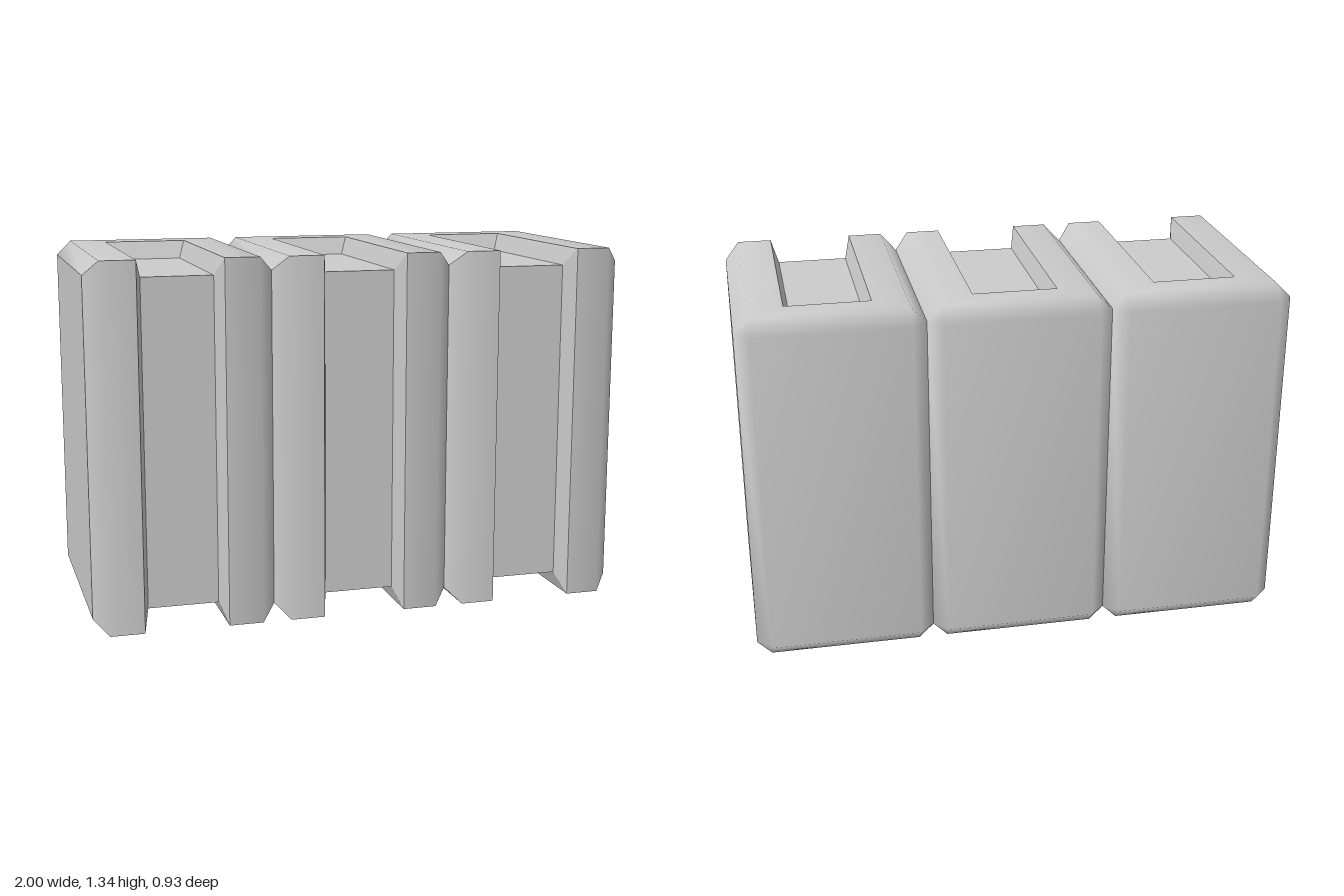
import * as THREE from 'three';
import { mergeVertices } from 'three/addons/utils/BufferGeometryUtils.js';

const H = 1.335, HW = 1 / 3, D = 0.467;     // block height, half width, half depth
const C = 0.053;                             // chamfer
const RX = 0.154, FX = 0.13;                 // recess half width at rim and floor
const RB = -0.31, FB = -0.285;               // recess back edge at rim and floor
const FZ = 0.39, FY = 0.067;                 // recess floor depth: front, top/bottom

// Turns polygons (3 or 4 corners) into a geometry; smooth ones share normals.
function build(faces, smooth) {
  const pos = [];
  for (const { pts, out } of faces) {
    const v = pts.map(p => new THREE.Vector3(...p));
    const n = v[1].clone().sub(v[0]).cross(v[2].clone().sub(v[0]));
    if (n.dot(new THREE.Vector3(...out)) < 0) v.reverse();
    for (let i = 1; i < v.length - 1; i++) {
      for (const p of [v[0], v[i], v[i + 1]]) pos.push(p.x, p.y, p.z);
    }
  }
  let g = new THREE.BufferGeometry();
  g.setAttribute('position', new THREE.Float32BufferAttribute(pos, 3));
  if (smooth) g = mergeVertices(g, 1e-4);
  g.computeVertexNormals();
  return g;
}

function blockParts() {
  const shell = [], front = [], sides = [], recess = [];
  const add = (list, out, ...pts) => list.push({ pts, out });
  const X = HW - C, Z = D - C, T = H - C;

  // Back panel and front recess floor
  add(shell, [0, 0, -1], [-X, C, -D], [X, C, -D], [X, T, -D], [-X, T, -D]);
  add(recess, [0, 0, 1], [-FX, FY, FZ], [FX, FY, FZ], [FX, H - FY, FZ], [-FX, H - FY, FZ]);

  for (const s of [-1, 1]) {
    // Side panel, back upright chamfer, front strip with its chamfer, front recess wall
    add(sides, [s, 0, 0], [s * HW, C, -Z], [s * HW, T, -Z], [s * HW, T, Z], [s * HW, C, Z]);
    add(shell, [s, 0, -1], [s * HW, C, -Z], [s * HW, T, -Z], [s * X, T, -D], [s * X, C, -D]);
    add(front, [0, 0, 1], [s * RX, 0, D], [s * X, 0, D], [s * X, H, D], [s * RX, H, D]);
    add(front, [s, 0, 1], [s * X, 0, D], [s * X, H, D], [s * HW, T, Z], [s * HW, C, Z]);
    add(recess, [-s, 0, 0], [s * RX, 0, D], [s * RX, H, D], [s * FX, H - FY, FZ], [s * FX, FY, FZ]);
  }

  // Top and bottom ends
  for (const u of [-1, 1]) {
    const y = d => (u > 0 ? H - d : d);
    const up = [0, u, 0];
    add(shell, up, [-RX, y(0), RB], [RX, y(0), RB], [X, y(0), -Z], [-X, y(0), -Z]);
    add(shell, [0, u, -1], [-X, y(0), -Z], [X, y(0), -Z], [X, y(C), -D], [-X, y(C), -D]);
    add(recess, up, [-FX, y(FY), FB], [FX, y(FY), FB], [FX, y(FY), FZ], [-FX, y(FY), FZ]);
    add(recess, [0, 0, 1], [-RX, y(0), RB], [RX, y(0), RB], [FX, y(FY), FB], [-FX, y(FY), FB]);
    for (const s of [-1, 1]) {
      add(shell, up, [s * RX, y(0), D], [s * X, y(0), D], [s * X, y(0), -Z], [s * RX, y(0), RB]);
      add(shell, [s, u, 0], [s * X, y(0), D], [s * HW, y(C), Z], [s * HW, y(C), -Z], [s * X, y(0), -Z]);
      add(shell, [s, u, -1], [s * X, y(0), -Z], [s * HW, y(C), -Z], [s * X, y(C), -D]);
      add(recess, [-s, 0, 0], [s * RX, y(0), D], [s * RX, y(0), RB], [s * FX, y(FY), FB], [s * FX, y(FY), FZ]);
    }
  }
  return {
    outerShell: build(shell, true),
    frontStrips: build(front, true),
    sidePanels: build(sides, false),
    recessedChannel: build(recess, false),
  };
}

export function createModel() {
  const model = new THREE.Group();
  model.name = 'ribbedWall';
  const grey = new THREE.MeshStandardMaterial({ color: 0xcccccc });
  grey.name = 'lightGrey';

  // Three identical blocks side by side
  const parts = blockParts();
  ['rightBlock', 'middleBlock', 'leftBlock'].forEach((name, i) => {
    const block = new THREE.Group();
    block.name = name;
    block.position.x = (i - 1) * 2 * HW;
    for (const [part, geometry] of Object.entries(parts)) {
      const mesh = new THREE.Mesh(geometry, grey);
      mesh.name = part;
      block.add(mesh);
    }
    model.add(block);
  });
  return model;
}
